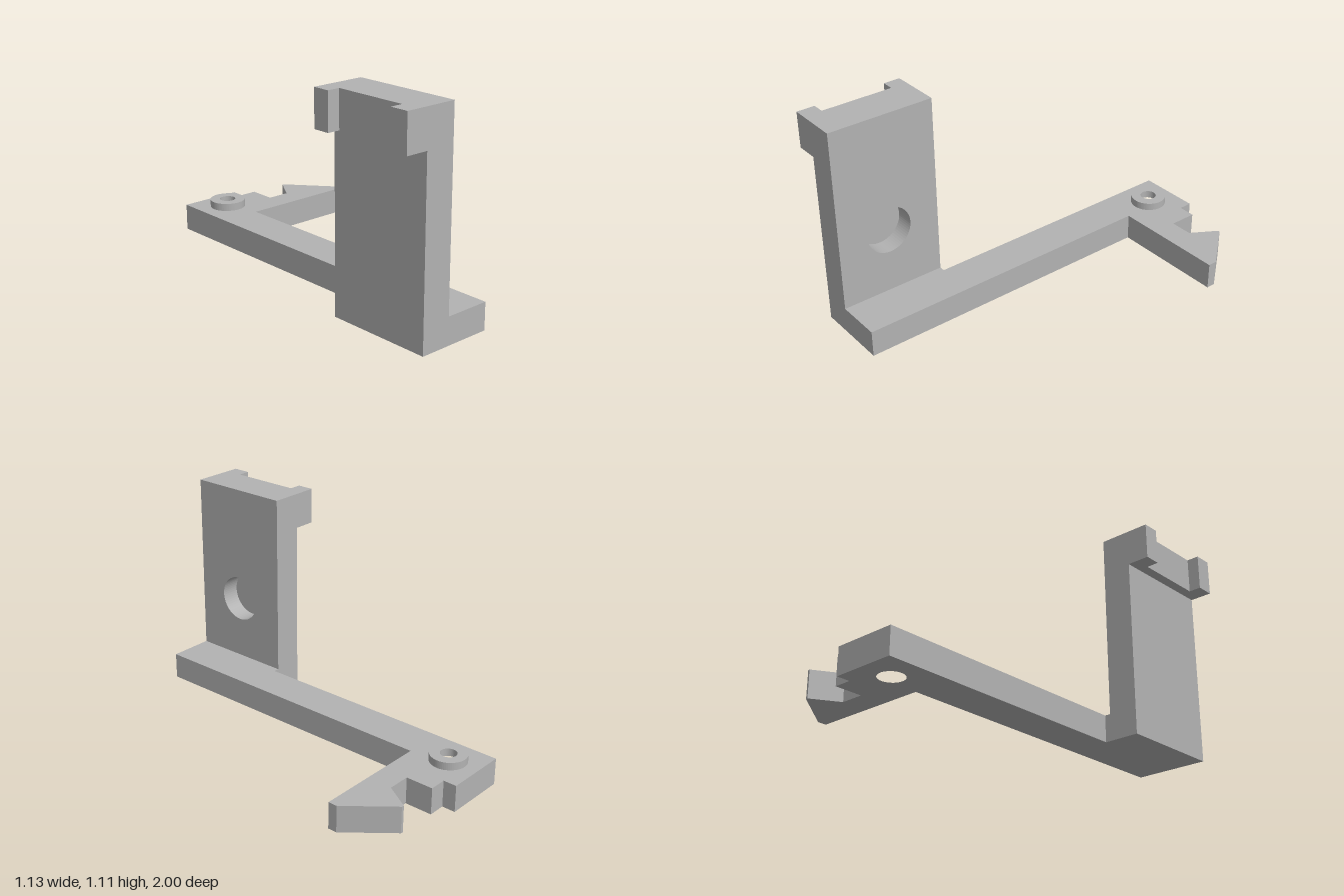
import * as THREE from 'three';

const grey = new THREE.MeshStandardMaterial({ color: 0xb2b2b2 });
grey.name = 'plain grey';

// Closed outline from [a, b] points, with an optional round hole
function outline(points, hole) {
  const shape = new THREE.Shape(points.map(([a, b]) => new THREE.Vector2(a, -b)));
  if (hole) shape.holes.push(new THREE.Path().absarc(hole[0], -hole[1], hole[2], 0, Math.PI * 2, true));
  return shape;
}

function extrude(shape, depth) {
  return new THREE.ExtrudeGeometry(shape, { depth, bevelEnabled: false, curveSegments: 32 });
}

// Plan outline (x, z) raised from y0 to y1
function planSolid(name, points, hole, y0, y1) {
  const geo = extrude(outline(points, hole), y1 - y0).rotateX(-Math.PI / 2).translate(0, y0, 0);
  const mesh = new THREE.Mesh(geo, grey);
  mesh.name = name;
  return mesh;
}

export function createModel() {
  const group = new THREE.Group();
  group.name = 'bracket';

  const thick = 0.14, top = 1.108, zBack = 0.436;
  const xBack = -0.447, xFront = -0.29, xPocket = -0.39;
  const boss = { x: -0.097, z: -0.838 };

  // Flat base: foot, long arm and barbed catch, bored from below
  group.add(planSolid('baseArm', [
    [-0.26, -1], [0.07, -1], [0.07, -0.93], [0.16, -0.93], [0.16, -0.785], [0.28, -0.785],
    [0.363, -0.922], [0.375, -0.92], [0.562, -0.697], [0.562, -0.65], [-0.05, -0.65],
    [-0.05, 1], [xBack, 1], [xBack, zBack], [-0.26, zBack],
  ], [boss.x, boss.z, 0.065], 0, thick));

  // Raised ring over the bore
  const ring = new THREE.Shape().absarc(0, 0, 0.094, 0, Math.PI * 2, false);
  ring.holes.push(new THREE.Path().absarc(0, 0, 0.042, 0, Math.PI * 2, true));
  const ringMesh = new THREE.Mesh(extrude(ring, 0.04).rotateX(-Math.PI / 2), grey);
  ringMesh.name = 'bossRing';
  ringMesh.position.set(boss.x, thick, boss.z);
  group.add(ringMesh);

  // Upright: solid back layer closing the round pocket
  const back = new THREE.Mesh(
    new THREE.BoxGeometry(xPocket - xBack, top - thick, 1 - zBack), grey);
  back.name = 'uprightBack';
  back.position.set((xBack + xPocket) / 2, (top + thick) / 2, (1 + zBack) / 2);
  group.add(back);

  // Upright: front layer with the pocket opening, drawn in (-z, y)
  const panel = outline(
    [[-1, -thick], [-zBack, -thick], [-zBack, -top], [-1, -top]], [-0.72, -0.483, 0.123]);
  const front = new THREE.Mesh(
    extrude(panel, xFront - xPocket).rotateY(Math.PI / 2).translate(xPocket, 0, 0), grey);
  front.name = 'uprightFront';
  group.add(front);

  // Notched lip at the top of the upright
  group.add(planSolid('notchedLip', [
    [xBack, zBack], [xBack, 1], [-0.565, 1], [-0.565, 0.905],
    [-0.5, 0.905], [-0.5, 0.525], [-0.565, 0.525], [-0.565, zBack],
  ], null, 0.92, top));

  return group;
}
